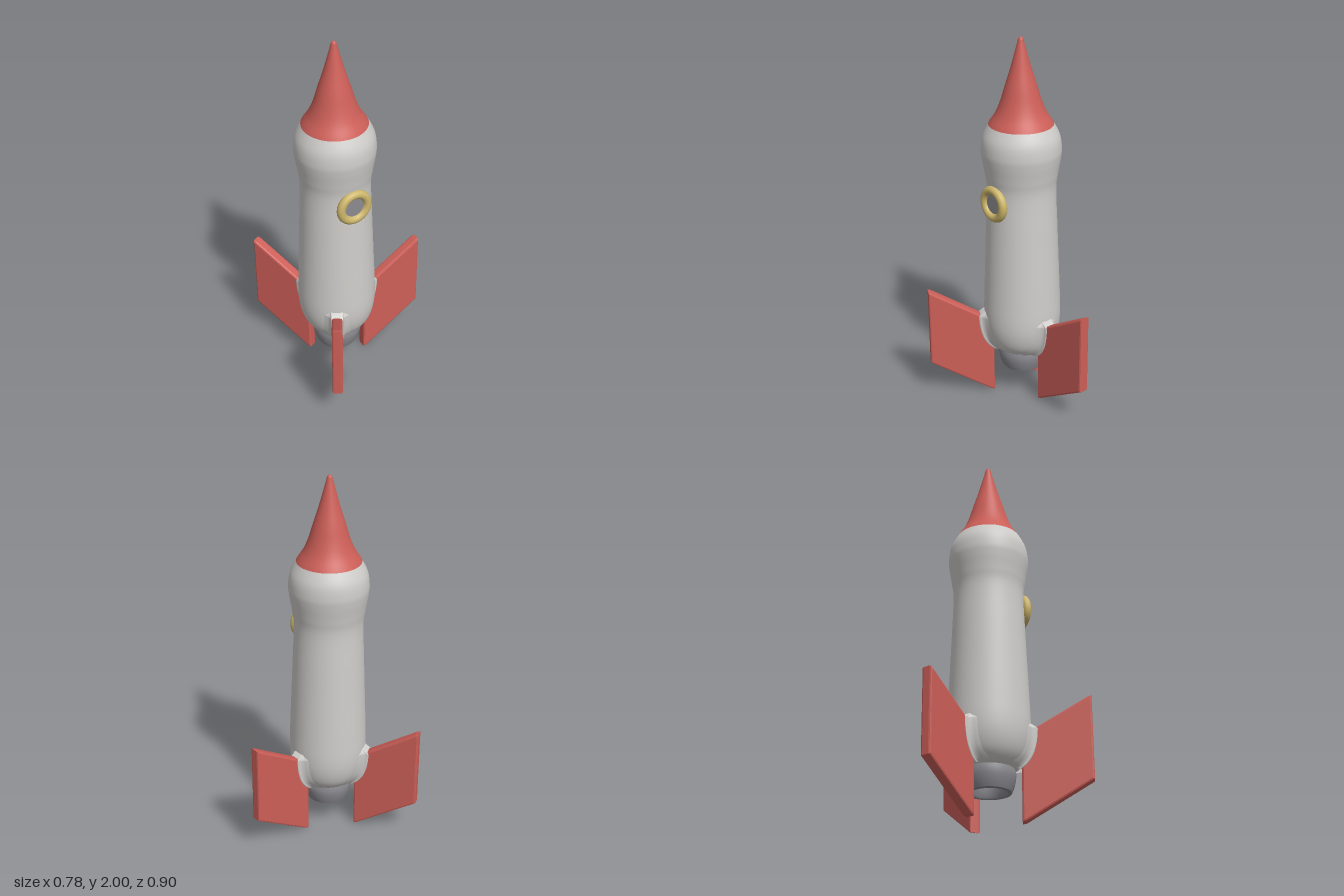
import * as THREE from 'three';
import { toCreasedNormals } from 'three/addons/utils/BufferGeometryUtils.js';
import { ParametricGeometry } from 'three/addons/geometries/ParametricGeometry.js';

const V = (x, y) => new THREE.Vector2(x, y);
const AXIS_X = -0.118;

export function createModel() {
  const mat = (name, color) => {
    const m = new THREE.MeshStandardMaterial({ color });
    m.name = name;
    return m;
  };
  const hull = mat('hullGrey', 0xcfcdca);
  const red = mat('red', 0xcd5f58);
  const gold = mat('gold', 0xcdb66c);
  const steel = mat('steelGrey', 0x8a8a90);

  const rocket = new THREE.Group();
  rocket.name = 'rocket';
  rocket.position.x = AXIS_X;
  const add = (name, geometry, material, parent = rocket) => {
    const mesh = new THREE.Mesh(geometry, material);
    mesh.name = name;
    parent.add(mesh);
    return mesh;
  };

  // One smooth outline, split by height into hull and nose
  const outline = new THREE.SplineCurve([
    V(0.115, 0.262), V(0.15, 0.29), V(0.18, 0.335), V(0.199, 0.4), V(0.206, 0.48), V(0.203, 0.6),
    V(0.195, 0.8), V(0.187, 1.0), V(0.18, 1.2), V(0.19, 1.29), V(0.203, 1.37), V(0.207, 1.42),
    V(0.198, 1.485), V(0.167, 1.55), V(0.13, 1.61), V(0.105, 1.67), V(0.081, 1.75), V(0.05, 1.85),
    V(0.02, 1.96), V(0.012, 1.99), V(0, 2.0),
  ]).getPoints(160);
  const split = outline.findIndex((p) => p.y > 1.545);
  add('hull', new THREE.LatheGeometry([V(0, 0.262), ...outline.slice(0, split + 1)], 64), hull);
  add('noseCone', new THREE.LatheGeometry(outline.slice(split), 64), red);

  const hullRadius = (y) => {
    const i = Math.max(1, outline.findIndex((p) => p.y >= y));
    const a = outline[i - 1], b = outline[i];
    return THREE.MathUtils.mapLinear(y, a.y, b.y, a.x, b.x);
  };

  // Hollow engine nozzle
  const nozzle = new THREE.LatheGeometry([
    V(0, 0.235), V(0.085, 0.23), V(0.085, 0.165), V(0.092, 0.155), V(0.11, 0.158),
    V(0.121, 0.185), V(0.129, 0.22), V(0.132, 0.25), V(0.125, 0.275),
  ], 48);
  add('nozzle', toCreasedNormals(nozzle, 0.9), steel);

  // Porthole
  const porthole = new THREE.Group();
  porthole.name = 'porthole';
  porthole.position.set(0, 1.155, 0.183);
  rocket.add(porthole);
  add('portholeRing', new THREE.TorusGeometry(0.074, 0.023, 16, 48), gold, porthole);
  const glass = add('portholeGlass', new THREE.CylinderGeometry(0.07, 0.07, 0.008, 40), steel, porthole);
  glass.rotation.x = Math.PI / 2;

  // Swept fin plate with bevelled edges
  const finShape = new THREE.Shape([V(0.159, 0.005), V(0.18, 0.01), V(0.507, 0.208), V(0.507, 0.64),
    V(0.49, 0.635), V(0.159, 0.437)]);
  const finGeometry = new THREE.ExtrudeGeometry(finShape, {
    depth: 0.035, bevelEnabled: true, bevelThickness: 0.01, bevelSize: 0.01, bevelOffset: -0.01, bevelSegments: 2,
  }).translate(0, 0, -0.0175);

  // Blended collar at the fin root: half cross-section as (sideways, outwards from hull)
  const half = [V(0.085, -0.025), V(0.062, -0.008), V(0.045, 0.004), V(0.034, 0.018), V(0.031, 0.031), V(0.022, 0.035)];
  const section = new THREE.SplineCurve([
    ...half, ...half.map((p) => V(-p.x, p.y)).reverse(),
  ]);
  const collarGeometry = new ParametricGeometry((u, v, target) => {
    const p = section.getPoint(u);
    const y = 0.268 + v * 0.237;
    const fade = Math.min(1, Math.pow((1 - v) / 0.14, 0.6));
    const out = (p.y + 0.025) * fade - 0.025;
    target.set(hullRadius(y) + out, y, -p.x);
  }, 28, 40);
  const collarMaterial = hull;
  collarMaterial.side = THREE.DoubleSide;

  // Three fins spaced evenly around the hull
  for (let i = 0; i < 3; i++) {
    const fin = new THREE.Group();
    fin.name = 'fin' + (i + 1);
    fin.rotation.y = (i * Math.PI * 2) / 3;
    rocket.add(fin);
    add('finPlate', finGeometry, red, fin);
    add('finCollar', collarGeometry, collarMaterial, fin);
  }

  const model = new THREE.Group();
  model.name = 'model';
  model.add(rocket);
  return model;
}
